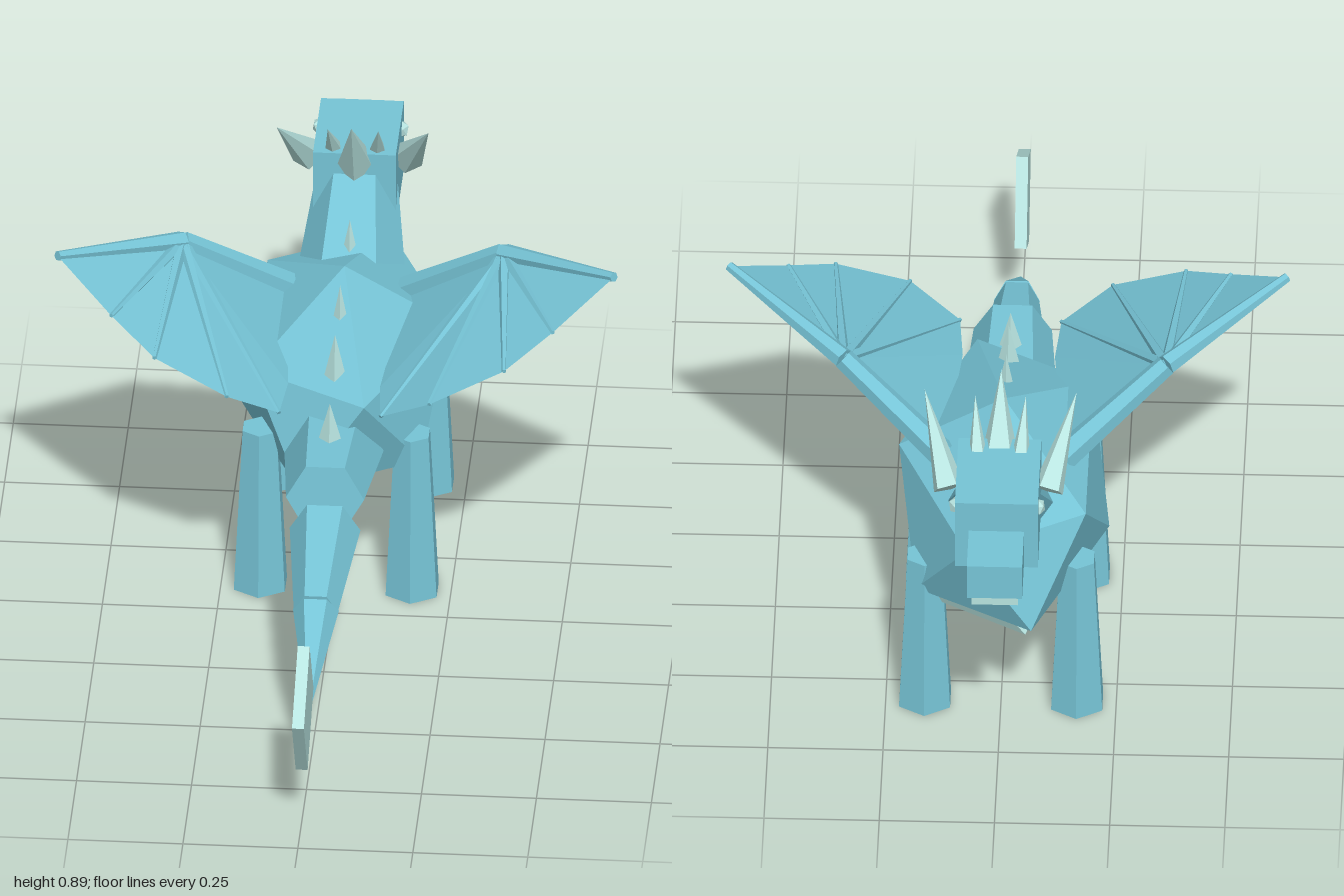
import * as THREE from 'three';

const teal = new THREE.MeshStandardMaterial({ color: 0x76c4d6, flatShading: true });
const pale = new THREE.MeshStandardMaterial({ color: 0xb8e4e0, flatShading: true });
const skin = new THREE.MeshStandardMaterial({ color: 0x76c4d6, flatShading: true, side: THREE.DoubleSide });

export function createModel() {
  const model = new THREE.Group();
  model.name = 'dragon';

  const add = (name, geometry, material, pos = [0, 0, 0], parent = model) => {
    const mesh = new THREE.Mesh(geometry, material);
    mesh.name = name;
    mesh.position.set(...pos);
    parent.add(mesh);
    return mesh;
  };

  // Tapered faceted limb running from point a to point b
  const limb = (name, a, b, ra, rb, sides, material = teal, turn = 0, parent = model) => {
    const from = new THREE.Vector3(...a), to = new THREE.Vector3(...b);
    const dir = to.clone().sub(from);
    const geo = new THREE.CylinderGeometry(rb, ra, dir.length(), sides);
    geo.rotateY(turn);
    const mesh = add(name, geo, material, from.clone().add(to).multiplyScalar(0.5).toArray(), parent);
    mesh.quaternion.setFromUnitVectors(new THREE.Vector3(0, 1, 0), dir.normalize());
    return mesh;
  };

  // Icosahedron standing on a corner, stretched to the given radii
  const gem = (rx, ry, rz) => {
    const geo = new THREE.IcosahedronGeometry(1, 0);
    geo.rotateZ(-Math.atan(2 / (1 + Math.sqrt(5))));
    return geo.scale(rx, ry, rz);
  };

  // Torso
  add('body', gem(0.255, 0.238, 0.444), teal, [0, 0.427, -0.355]);
  add('belly', gem(0.205, 0.175, 0.375), pale, [0, 0.363, -0.38]);

  // Legs
  for (const s of [-1, 1]) {
    for (const [name, z] of [['frontLeg', -0.563], ['hindLeg', -0.115]]) {
      limb(name, [s * 0.165, 0, z], [s * 0.165, 0.395, z], 0.064, 0.043, 6);
    }
  }

  // Neck and head
  limb('neck', [0, 0.52, -0.54], [0, 0.7, -0.73], 0.12, 0.085, 6, teal, Math.PI / 6);
  add('head', new THREE.BoxGeometry(0.18, 0.172, 0.231), teal, [0, 0.691, -0.758]);
  add('snout', new THREE.BoxGeometry(0.12, 0.086, 0.15), teal, [0, 0.659, -0.925]);
  add('jaw', new THREE.BoxGeometry(0.1, 0.036, 0.147), pale, [0, 0.598, -0.903]);

  // Eyes and horns
  for (const s of [-1, 1]) {
    add('eye', gem(0.018, 0.02, 0.02), pale, [s * 0.088, 0.735, -0.826]);
    limb('sideHorn', [s * 0.108, 0.715, -0.74], [s * 0.165, 0.868, -0.59], 0.036, 0, 5, pale);
    limb('crestHorn', [s * 0.045, 0.74, -0.7], [s * 0.055, 0.862, -0.6], 0.026, 0, 5, pale);
  }
  limb('centreHorn', [0, 0.735, -0.67], [0, 0.895, -0.55], 0.045, 0, 5, pale);

  // Spines along the back: z, base height, tip height, radius
  const spines = [
    [-0.51, 0.6, 0.69, 0.018],
    [-0.23, 0.61, 0.69, 0.015],
    [-0.08, 0.55, 0.655, 0.024],
    [0.07, 0.44, 0.57, 0.036],
  ];
  for (const [z, y0, y1, r] of spines) limb('backSpine', [0, y0, z], [0, y1, z], r, 0, 4, pale);

  // Tail
  limb('tailBase', [0, 0.385, -0.05], [0, 0.415, 0.212], 0.108, 0.085, 6, teal, Math.PI / 6);
  limb('tailMiddle', [0, 0.337, 0.21], [0, 0.29, 0.48], 0.077, 0.048, 6, teal, Math.PI / 6);
  limb('tailEnd', [0, 0.29, 0.475], [0, 0.163, 0.725], 0.05, 0, 6, teal, Math.PI / 6);
  add('tailBlade', new THREE.BoxGeometry(0.026, 0.2, 0.2), pale, [0, 0.271, 0.86]).rotation.x = 0.575;

  // Wings: membrane fanned out from the elbow, with arm and finger bones
  for (const s of [-1, 1]) {
    const wing = new THREE.Group();
    wing.name = s > 0 ? 'leftWing' : 'rightWing';
    model.add(wing);
    const at = (x, y, z) => [s * x, y, z];
    const shoulder = at(0.13, 0.565, -0.43), elbow = at(0.35, 0.735, -0.315), tip = at(0.605, 0.815, -0.1);
    const rim = [tip, at(0.48, 0.735, 0.01), at(0.38, 0.68, 0.09), at(0.22, 0.61, 0.125),
      at(0.11, 0.545, 0.075), at(0.1, 0.545, -0.05), shoulder];
    const points = [];
    for (let i = 0; i < rim.length - 1; i++) points.push(...elbow, ...rim[i], ...rim[i + 1]);
    const membrane = new THREE.BufferGeometry();
    membrane.setAttribute('position', new THREE.Float32BufferAttribute(points, 3));
    membrane.computeVertexNormals();
    add('wingMembrane', membrane, skin, [0, 0, 0], wing);
    limb('upperArm', shoulder, elbow, 0.032, 0.024, 6, teal, 0, wing);
    limb('forearm', elbow, tip, 0.024, 0.011, 6, teal, 0, wing);
    for (const end of rim.slice(1, 5)) limb('wingFinger', elbow, end, 0.014, 0.005, 5, teal, 0, wing);
  }

  return model;
}
